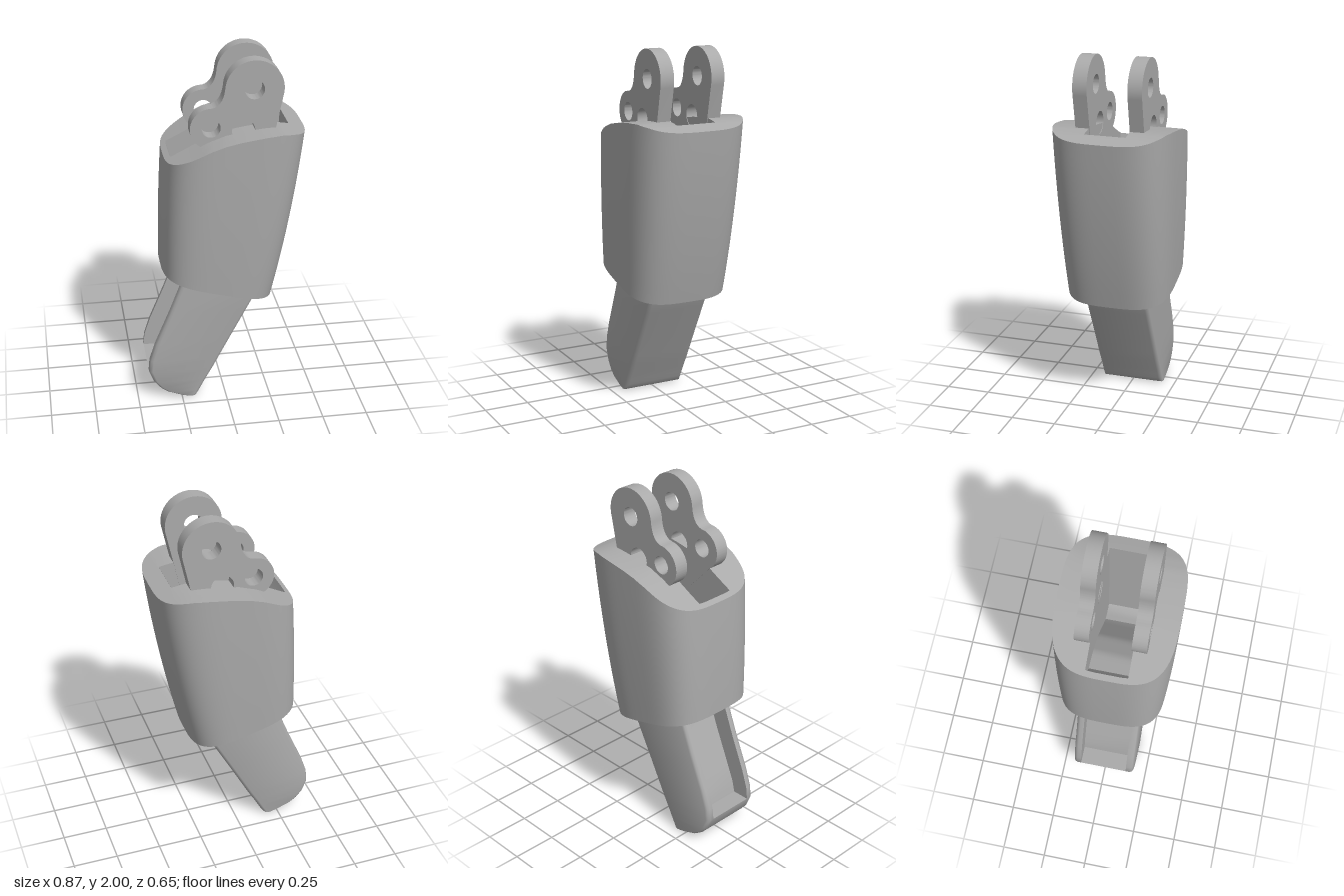
import * as THREE from 'three';
import { toCreasedNormals } from 'three/addons/utils/BufferGeometryUtils.js';

const { lerp } = THREE.MathUtils;

// Piecewise-linear height curve through [x, y] points
const curve = (pts) => (x) => {
  if (x <= pts[0][0]) return pts[0][1];
  for (let i = 1; i < pts.length; i++) {
    const [x0, y0] = pts[i - 1], [x1, y1] = pts[i];
    if (x <= x1) return lerp(y0, y1, (x - x0) / (x1 - x0));
  }
  return pts[pts.length - 1][1];
};

// Skin a stack of closed rings of [x, y, z] points
function loft(rings, crease) {
  const n = rings[0].length, index = [];
  for (let i = 0; i < rings.length - 1; i++) {
    for (let j = 0; j < n; j++) {
      const k = (j + 1) % n;
      const a = i * n + j, b = i * n + k, c = b + n, d = a + n;
      index.push(a, d, b, b, d, c);
    }
  }
  const geo = new THREE.BufferGeometry();
  geo.setAttribute('position', new THREE.Float32BufferAttribute(rings.flat(2), 3));
  geo.setIndex(index);
  return toCreasedNormals(geo, crease);
}

// Sleeve: rounded tapering body, slanted base, wavy top with a deep slot
function sleeveGeometry() {
  const SEG = 96;
  const topY = curve([[-0.32, 1.45], [-0.2, 1.51], [-0.1, 1.563], [0, 1.598], [0.1, 1.615],
    [0.2, 1.627], [0.28, 1.63], [0.35, 1.618], [0.435, 1.592]]);
  const baseY = (x) => 0.79 - (x + 0.345) * 0.2614;
  const floorY = curve([[-0.29, 1.465], [-0.235, 1.3], [-0.11, 1.27], [0.02, 1.18],
    [0.205, 0.95], [0.305, 0.93], [0.345, 1.619]]);
  const ring = (fn) => Array.from({ length: SEG }, (_, j) => {
    const t = (j / SEG) * Math.PI * 2;
    return fn(Math.cos(t), Math.sin(t));
  });
  const round = (v) => Math.sign(v) * Math.abs(v) ** (2 / 3.4);
  const outer = (s) => ring((c, d) => {
    const bow = s * (1 - s);
    const left = lerp(-0.345, -0.32, s) - 0.02 * bow;
    const right = lerp(0.267, 0.435, s) + 0.06 * bow;
    const x = (left + right) / 2 + ((right - left) / 2) * round(c);
    const z = (lerp(0.296, 0.327, s) + 0.02 * bow) * round(d);
    return [x, lerp(baseY(x), topY(x), s), z];
  });
  const slot = ring((c, d) => {
    const m = Math.max(Math.abs(c), Math.abs(d));
    const x = 0.0275 + (0.3175 * c) / m;
    return [x, topY(x), (0.113 * d) / m];
  });

  const rings = [outer(0).map(([x, y]) => [x, y, 0])];
  for (let i = 0; i <= 10; i++) rings.push(outer(i / 10));
  const rim = outer(1);
  for (let i = 1; i <= 4; i++) {
    rings.push(rim.map((p, j) => {
      const x = lerp(p[0], slot[j][0], i / 4);
      return [x, topY(x), lerp(p[2], slot[j][2], i / 4)];
    }));
  }
  rings.push(slot.map(([x, , z]) => [x, floorY(x), z]));
  rings.push(slot.map(([x]) => [x, floorY(x), 0]));
  return loft(rings, 0.5);
}

// Fingertip: slanted bar with a round tip and a channel along its -x side
function fingertipGeometry() {
  const h = 0.18, g = 0.137;
  // left x, left y, right x, right y, channel depth
  const stations = [
    [-0.21, 0, -0.172, 0.006, 0],
    [-0.257, 0.01, -0.16, 0.017, 0],
    [-0.335, 0.04, -0.147, 0.04, 0],
    [-0.375, 0.068, -0.13, 0.072, 0],
    [-0.41, 0.11, -0.11, 0.11, 0],
    [-0.437, 0.18, -0.07, 0.18, 0],
    [-0.437, 0.18, -0.07, 0.18, 0.1],
    [-0.43, 0.25, -0.035, 0.247, 0.11],
    [-0.395, 0.355, 0.024, 0.36, 0.12],
    [-0.31, 0.555, 0.125, 0.55, 0.12],
    [-0.23, 0.76, 0.23, 0.75, 0.12],
    [-0.17, 0.9, 0.25, 0.9, 0.12],
  ];
  const rings = stations.map(([lx, ly, rx, ry, depth]) => {
    const w = Math.hypot(rx - lx, ry - ly), r = Math.min(0.02, w / 3), q = r * 0.3;
    const half = [[0, g], [0, h - r], [q, h - q], [r, h], [w - r, h], [w - q, h - q], [w, h - r]];
    const loop = [
      ...half.map(([u, z]) => [u, -z]),
      ...half.slice().reverse(),
      [depth, g], [depth, -g],
    ];
    return loop.map(([u, z]) => [lerp(lx, rx, u / w), lerp(ly, ry, u / w), z]);
  });
  rings.unshift(rings[0].map(([x, y]) => [x, y, 0]));
  return loft(rings, 0.85);
}

// Hinge lug: two-lobed plate with three holes
function lugGeometry() {
  const s = new THREE.Shape();
  s.moveTo(0.215, 1.4);
  s.lineTo(0.302, 1.81);
  s.absarc(0.15, 1.845, 0.156, -0.2, Math.PI - 0.1, false);
  s.bezierCurveTo(-0.012, 1.79, -0.04, 1.757, -0.08, 1.752);
  s.absarc(-0.08, 1.64, 0.112, Math.PI / 2, Math.PI * 1.32, false);
  s.lineTo(-0.08, 1.48);
  s.lineTo(0, 1.4);
  for (const [x, y, r] of [[0.15, 1.843, 0.052], [-0.08, 1.642, 0.05], [0.092, 1.62, 0.062]]) {
    const hole = new THREE.Path();
    hole.absarc(x, y, r, 0, Math.PI * 2, true);
    s.holes.push(hole);
  }
  const geo = new THREE.ExtrudeGeometry(s, { depth: 0.078, bevelEnabled: false, curveSegments: 24 });
  return toCreasedNormals(geo, 0.6);
}

export function createModel() {
  const model = new THREE.Group();
  model.name = 'fingerSegment';
  const grey = new THREE.MeshStandardMaterial({ color: 0xaaaaaa });
  grey.name = 'plainGrey';

  const add = (name, geo, z = 0) => {
    const mesh = new THREE.Mesh(geo, grey);
    mesh.name = name;
    mesh.position.z = z;
    model.add(mesh);
  };

  add('sleeve', sleeveGeometry());
  add('fingertip', fingertipGeometry());
  const lug = lugGeometry();
  add('frontHingeLug', lug, 0.11);
  add('backHingeLug', lug, -0.188);
  return model;
}
